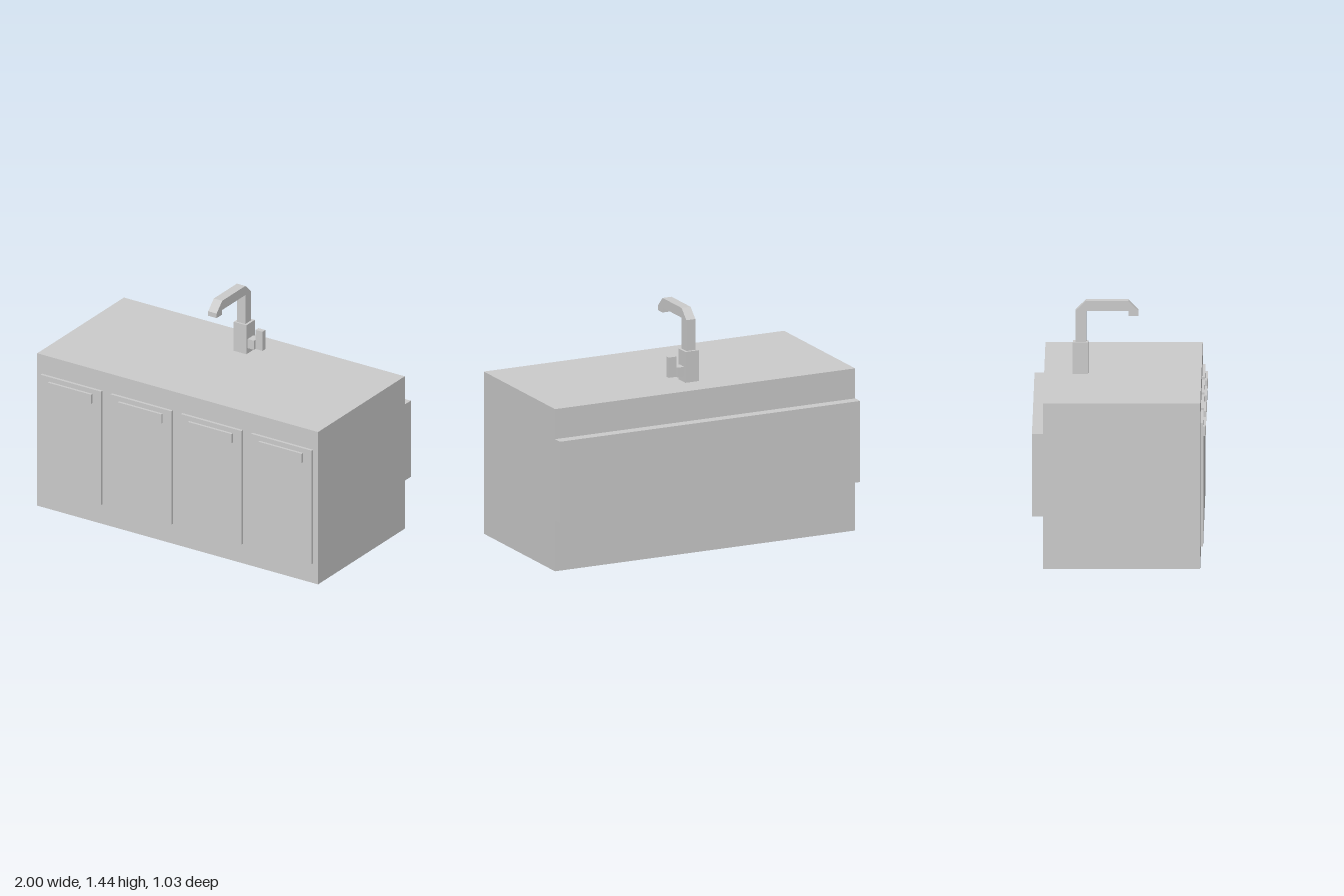
import * as THREE from 'three';

const material = new THREE.MeshStandardMaterial({ color: 0xcccccc, flatShading: true });

// Box given by its [min, max] range on each axis
function box(name, [x0, x1], [y0, y1], [z0, z1]) {
  const mesh = new THREE.Mesh(new THREE.BoxGeometry(x1 - x0, y1 - y0, z1 - z0), material);
  mesh.position.set((x0 + x1) / 2, (y0 + y1) / 2, (z0 + z1) / 2);
  mesh.name = name;
  return mesh;
}

// Side outline of [z, y] points, extruded across x and centred on x = 0
function sideProfile(name, points, width) {
  const shape = new THREE.Shape(points.map(([z, y]) => new THREE.Vector2(z, y)));
  const geometry = new THREE.ExtrudeGeometry(shape, { depth: width, bevelEnabled: false });
  geometry.translate(0, 0, -width / 2);
  geometry.rotateY(-Math.PI / 2);
  const mesh = new THREE.Mesh(geometry, material);
  mesh.name = name;
  return mesh;
}

export function createModel() {
  const model = new THREE.Group();
  model.name = 'sinkCabinet';

  // Cabinet body and the raised panel on its back
  model.add(box('cabinetBody', [-1, 1], [0, 1], [-0.45, 0.485]));
  model.add(box('backPanel', [-1, 1], [0.315, 0.815], [-0.515, -0.45]));

  // Four doors, each with a bar handle
  for (let i = 0; i < 4; i++) {
    const x = -0.75 + i * 0.5;
    const door = new THREE.Group();
    door.name = 'door' + (i + 1);
    door.add(box('doorPanel', [x - 0.216, x + 0.216], [0.13, 0.875], [0.485, 0.502]));
    door.add(box('doorHandle', [x - 0.155, x + 0.155], [0.785, 0.845], [0.502, 0.517]));
    model.add(door);
  }

  // Faucet: square base, chamfered spout and side lever
  const faucet = new THREE.Group();
  faucet.name = 'faucet';
  faucet.add(box('faucetBase', [-0.045, 0.045], [1, 1.19], [-0.28, -0.188]));
  faucet.add(sideProfile('faucetSpout', [
    [-0.263, 1.19], [-0.2, 1.19], [-0.2, 1.38], [0.05, 1.38], [0.05, 1.35],
    [0.11, 1.35], [0.11, 1.38], [0.05, 1.44], [-0.2, 1.44], [-0.263, 1.38],
  ], 0.06));
  faucet.add(box('leverArm', [0.045, 0.09], [1.035, 1.095], [-0.264, -0.202]));
  faucet.add(box('leverHandle', [0.09, 0.14], [1.035, 1.16], [-0.249, -0.218]));
  model.add(faucet);

  return model;
}
